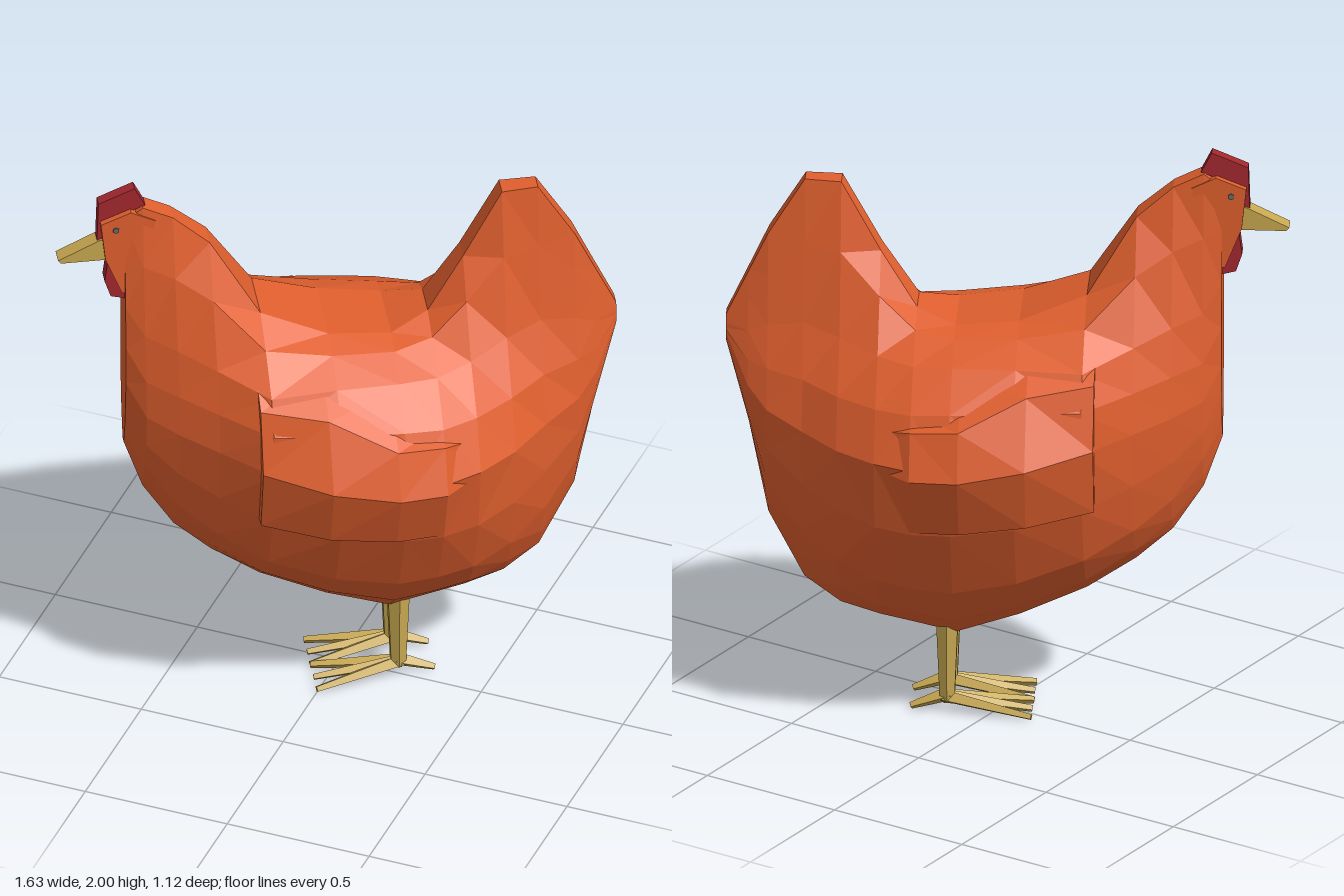
import * as THREE from 'three';

const paint = (color) => new THREE.MeshStandardMaterial({ color, flatShading: true });

// Closed loft along x: each section is { x, ring: [[z, y], ...] }, ordered from front to back.
// Each quad is split along its shorter diagonal.
function loft(sections) {
  const n = sections[0].ring.length, pts = [], idx = [];
  sections.forEach(({ x, ring }) => ring.forEach(([z, y]) => pts.push(new THREE.Vector3(x, y, z))));
  for (let i = 0; i < sections.length - 1; i++) {
    for (let j = 0; j < n; j++) {
      const a = i * n + j, b = i * n + (j + 1) % n, c = a + n, d = b + n;
      if (pts[b].distanceTo(pts[c]) < pts[a].distanceTo(pts[d])) idx.push(c, a, b, c, b, d);
      else idx.push(c, a, d, a, b, d);
    }
  }
  [0, sections.length - 1].forEach((s, end) => {
    const centre = new THREE.Vector3();
    for (let j = 0; j < n; j++) {
      centre.addScaledVector(pts[s * n + j], 1 / n);
      const a = s * n + j, b = s * n + (j + 1) % n;
      if (end) idx.push(pts.length, a, b); else idx.push(pts.length, b, a);
    }
    pts.push(centre);
  });
  const flat = new THREE.BufferGeometry().setFromPoints(pts).setIndex(idx).toNonIndexed();
  flat.computeVertexNormals();
  return flat;
}

// Side-view outline given a thickness across the bird
function slab(points, width) {
  const shape = new THREE.Shape(points.map(([x, y]) => new THREE.Vector2(x, y)));
  const g = new THREE.ExtrudeGeometry(shape, { depth: width, bevelEnabled: false });
  return g.translate(0, 0, -width / 2);
}

// Tapered rod between two points
function rod(from, to, r0, r1, sides) {
  const a = new THREE.Vector3(...from), b = new THREE.Vector3(...to);
  const dir = b.clone().sub(a);
  const g = new THREE.CylinderGeometry(r1, r0, dir.length(), sides);
  g.applyQuaternion(new THREE.Quaternion().setFromUnitVectors(new THREE.Vector3(0, 1, 0), dir.normalize()));
  return g.translate(...a.add(b).multiplyScalar(0.5).toArray());
}

export function createModel() {
  const model = new THREE.Group();
  model.name = 'hen';
  const hen = new THREE.Group();
  hen.name = 'turnedHen';
  model.add(hen);

  const feather = paint(0xe05f2e), red = paint(0xa3282f), horn = paint(0xc8a850), dark = paint(0x6a6a6a);
  const add = (name, geometry, material, parent = hen) => {
    const mesh = new THREE.Mesh(geometry, material);
    mesh.name = name;
    parent.add(mesh);
    return mesh;
  };

  // Body, neck and tail: x, bottom y, then (y, half width) for belly, flank, shoulder and top
  const stations = [
    [0.72, 0.98, 1.08, 0.04, 1.25, 0.06, 1.55, 0.055, 1.88, 0.03],
    [0.66, 0.81, 0.93, 0.09, 1.15, 0.125, 1.45, 0.09, 1.93, 0.035],
    [0.56, 0.66, 0.8, 0.14, 1.12, 0.2, 1.42, 0.145, 1.88, 0.035],
    [0.44, 0.56, 0.72, 0.21, 1.1, 0.29, 1.38, 0.22, 1.775, 0.045],
    [0.28, 0.46, 0.64, 0.28, 1.08, 0.42, 1.34, 0.35, 1.515, 0.1],
    [0.06, 0.36, 0.56, 0.3, 1.06, 0.49, 1.34, 0.33, 1.43, 0.13],
    [-0.15, 0.29, 0.52, 0.3, 1.05, 0.51, 1.33, 0.31, 1.405, 0.12],
    [-0.28, 0.32, 0.53, 0.295, 1.04, 0.495, 1.32, 0.28, 1.44, 0.06],
    [-0.4, 0.345, 0.55, 0.28, 1.04, 0.44, 1.33, 0.22, 1.63, 0.04],
    [-0.53, 0.38, 0.6, 0.235, 1.04, 0.34, 1.36, 0.145, 1.87, 0.035],
    [-0.65, 0.46, 0.68, 0.17, 1.05, 0.215, 1.39, 0.1, 1.875, 0.03],
    [-0.77, 0.68, 0.82, 0.1, 1.09, 0.14, 1.37, 0.08, 1.68, 0.035],
    [-0.835, 1.0, 1.05, 0.07, 1.16, 0.095, 1.34, 0.065, 1.54, 0.03],
    [-0.91, 1.28, 1.3, 0.025, 1.32, 0.03, 1.35, 0.03, 1.38, 0.025],
  ];
  const bodySections = stations.map(([x, yb, yl, wl, ym, wm, ys, ws, yt, wt]) => {
    const controls = [[wl * 0.3, yb], [wl, yl], [wm, ym], [ws, ys], [wt, yt]];
    const half = new THREE.SplineCurve(controls.map((p) => new THREE.Vector2(...p)))
      .getPoints(8).map((p) => [p.x, p.y]);
    return { x, ring: [...half, ...half.map(([z, y]) => [-z, y]).reverse()] };
  });
  add('body', loft(bodySections), feather);

  // Wings: x, then (y, distance from the middle) from lower to upper edge, sinking into the body behind
  const wingRows = [
    [0.32, [0.86, 0.38], [1.1, 0.435], [1.31, 0.375], [1.42, 0.22]],
    [0.1, [0.83, 0.455], [1.06, 0.53], [1.28, 0.42], [1.38, 0.25]],
    [-0.12, [0.8, 0.455], [1.02, 0.545], [1.18, 0.49], [1.3, 0.3]],
    [-0.28, [0.79, 0.425], [1.01, 0.515], [1.16, 0.455], [1.19, 0.36]],
    [-0.48, [0.86, 0.3], [1.01, 0.34], [1.11, 0.32], [1.15, 0.28]],
  ];
  for (const side of [1, -1]) {
    const sections = wingRows.map(([x, ...edge]) => {
      const outer = edge.map(([y, z]) => [z * side, y]);
      const inner = edge.map(([y, z]) => [(z - 0.12) * side, y]).reverse();
      const ring = [...outer, ...inner];
      return { x, ring: side > 0 ? ring : ring.reverse() };
    });
    add(side > 0 ? 'rightWing' : 'leftWing', loft(sections), feather);
  }

  // Head with comb, wattle, beak and eyes
  add('head', slab([[0.66, 1.6], [0.73, 1.6], [0.785, 1.74], [0.8, 1.88], [0.7, 1.92], [0.62, 1.88]], 0.085), feather);
  add('comb', slab([[0.78, 1.78], [0.81, 1.8], [0.805, 1.95], [0.685, 2.0], [0.65, 1.93], [0.78, 1.88]], 0.04), red);
  add('wattle', slab([[0.71, 1.76], [0.71, 1.565], [0.765, 1.58], [0.785, 1.64], [0.77, 1.76]], 0.05), red);
  add('beak', slab([[0.77, 1.73], [0.93, 1.73], [0.94, 1.742], [0.8, 1.81], [0.77, 1.81]], 0.056), horn);
  for (const side of [1, -1]) {
    const eye = add('eye', new THREE.CylinderGeometry(0.011, 0.011, 0.008, 6).rotateX(Math.PI / 2), dark);
    eye.position.set(0.75, 1.855, side * 0.043);
  }

  // Legs, each with three front toes and one back toe
  for (const side of [1, -1]) {
    const leg = new THREE.Group();
    leg.name = side > 0 ? 'rightLeg' : 'leftLeg';
    leg.position.set(-0.18, 0, side * 0.072);
    hen.add(leg);
    add('shank', rod([0, 0.04, 0], [0, 0.34, 0], 0.028, 0.042, 6), horn, leg);
    for (const spread of [-0.07, 0, 0.07]) {
      add('frontToe', rod([-0.01, 0.05, 0], [0.28, 0.012, spread], 0.025, 0.012, 4), horn, leg);
    }
    add('backToe', rod([0.01, 0.06, 0], [-0.12, 0.012, 0], 0.026, 0.012, 4), horn, leg);
  }

  // Turn the bird so it looks towards the front right
  hen.rotation.y = (-150 * Math.PI) / 180;
  hen.position.set(0.015, 0, 0.026);
  return model;
}
